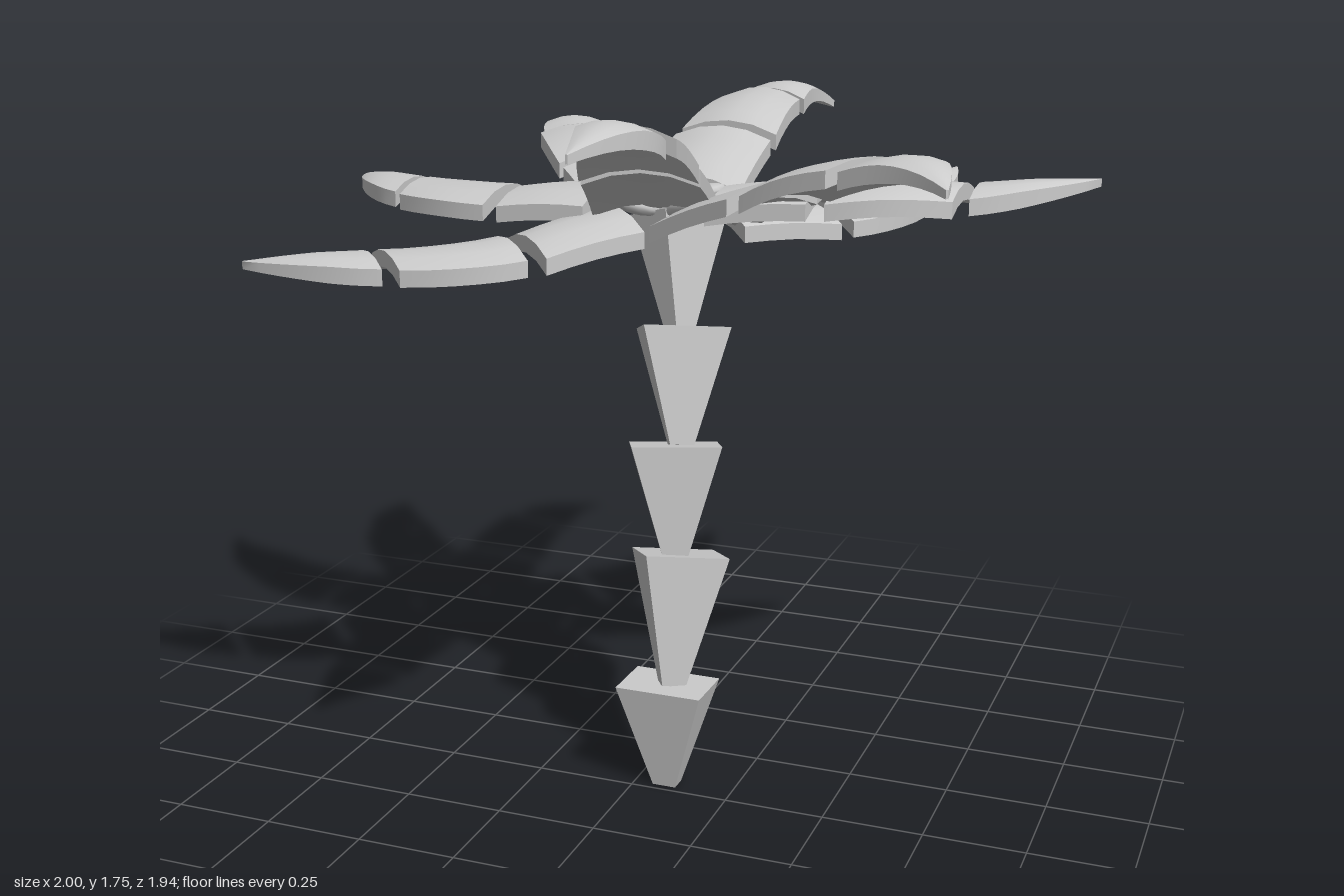
import * as THREE from 'three';
import { toCreasedNormals } from 'three/addons/utils/BufferGeometryUtils.js';

const material = new THREE.MeshStandardMaterial({ color: 0xcccccc });
const V = (x, y, z) => new THREE.Vector3(x, y, z);
const UP = V(0, 1, 0);
const RAD = Math.PI / 180;

function addMesh(parent, name, geometry) {
  const mesh = new THREE.Mesh(geometry, material);
  mesh.name = name;
  parent.add(mesh);
  return mesh;
}

// Trunk piece: a box narrowed at its foot, turned by yaw and aligned to its axis
function trunkSegment(foot, head, width, depth, yaw) {
  const axis = head.clone().sub(foot);
  const length = axis.length();
  const geo = new THREE.BoxGeometry(width, length, depth).translate(0, length / 2, 0);
  const pos = geo.attributes.position;
  for (let i = 0; i < pos.count; i++) {
    if (pos.getY(i) < length / 2) {
      pos.setX(i, Math.sign(pos.getX(i)) * 0.03);
      pos.setZ(i, Math.sign(pos.getZ(i)) * 0.022);
    }
  }
  geo.rotateY(yaw * RAD);
  geo.applyQuaternion(new THREE.Quaternion().setFromUnitVectors(UP, axis.normalize()));
  geo.translate(foot.x, foot.y, foot.z);
  geo.computeVertexNormals();
  return geo;
}

// Leaf slab lofted along a curve: arched over its length and cambered across
function leafSlab(start, control, end, angleA, angleB, halfWidth, arch, steps) {
  const curve = new THREE.QuadraticBezierCurve3(start, control, end);
  const across = 4, ring = 2 * (across + 1);
  const positions = [], index = [];
  for (let i = 0; i <= steps; i++) {
    const t = i / steps;
    const p = curve.getPoint(t);
    const a = THREE.MathUtils.lerp(angleA, angleB, t) * RAD;
    const hw = halfWidth(t);
    const thick = 0.018 + 0.022 * Math.min(1, hw / 0.08);
    for (let k = 0; k < ring; k++) {
      const top = k <= across;
      const s = (top ? k : ring - 1 - k) / across * 2 - 1;
      const y = p.y + arch * Math.sin(Math.PI * t) - 0.22 * hw * s * s + (top ? thick / 2 : -thick / 2);
      positions.push(p.x - Math.sin(a) * hw * s, y, p.z + Math.cos(a) * hw * s);
    }
  }
  for (let i = 0; i < steps; i++) {
    const a = i * ring, b = a + ring;
    for (let k = 0; k < ring; k++) {
      const n = (k + 1) % ring;
      index.push(a + k, a + n, b + k, a + n, b + n, b + k);
    }
  }
  const e = steps * ring;
  for (let k = 0; k < across; k++) {
    const tl = k, tr = k + 1, br = ring - 2 - k, bl = ring - 1 - k;
    index.push(tl, bl, br, tl, br, tr);
    index.push(e + tl, e + tr, e + br, e + tl, e + br, e + bl);
  }
  const geo = new THREE.BufferGeometry();
  geo.setAttribute('position', new THREE.Float32BufferAttribute(positions, 3));
  geo.setIndex(index);
  return toCreasedNormals(geo, 0.6);
}

// Frond: inner plate, middle plate and pointed tip, with small gaps between them
function createFrond({ name, angles: [a0, a1], root, joint, bend, tip }) {
  const frond = new THREE.Group();
  frond.name = name;
  const midStart = joint.clone().lerp(bend, 0.13);
  const tipStart = bend.clone().lerp(tip, 0.11);
  // Control point that carries on in the direction of the piece before
  const carryOn = (from, dir, to) =>
    from.clone().addScaledVector(dir.clone().normalize(), from.distanceTo(to) / 2);
  const innerDir = joint.clone().sub(root);
  const midDir = bend.clone().sub(midStart);
  const lerp = THREE.MathUtils.lerp;

  addMesh(frond, 'innerPlate', leafSlab(root, root.clone().lerp(joint, 0.5), joint,
    a0, a0, (t) => lerp(0.15, 0.135, t), 0.006, 4));
  addMesh(frond, 'middlePlate', leafSlab(midStart, carryOn(midStart, innerDir, bend), bend,
    a0, a1, (t) => lerp(0.135, 0.114, t), 0.006, 5));
  addMesh(frond, 'tip', leafSlab(tipStart, carryOn(tipStart, midDir, tip), tip,
    a1, a1, (t) => 0.1 * (1 - Math.pow(t, 1.4)) + 0.003, 0.006, 8));
  return frond;
}

export function createModel() {
  const model = new THREE.Group();
  model.name = 'palmTree';

  // Trunk
  const trunk = new THREE.Group();
  trunk.name = 'trunk';
  model.add(trunk);
  [
    [V(0.08, 0, 0.21), V(0.08, 0.27, 0.205), 0.22, 0.15, 0],
    [V(0.09, 0.265, 0.2), V(0.083, 0.587, 0.124), 0.21, 0.17, 33],
    [V(0.08, 0.585, 0.155), V(0.06, 0.86, 0.102), 0.22, 0.16, 24],
    [V(0.075, 0.86, 0.1), V(0.05, 1.135, 0.017), 0.215, 0.155, 28],
    [V(0.045, 1.13, 0.03), V(0.01, 1.4, -0.055), 0.2, 0.13, 62],
  ].forEach((args) => addMesh(trunk, 'trunkSegment', trunkSegment(...args)));

  // Crown of eight fronds; angles are the headings at the root and the tip
  [
    { name: 'leftFrond', angles: [0, 0], root: V(0.15, 1.47, 0),
      joint: V(0.39, 1.49, -0.005), bend: V(0.705, 1.49, -0.11), tip: V(0.995, 1.5, -0.31) },
    { name: 'rightFrond', angles: [180, 180], root: V(-0.155, 1.46, 0.01),
      joint: V(-0.39, 1.44, 0.012), bend: V(-0.71, 1.43, -0.07), tip: V(-1, 1.4, -0.29) },
    { name: 'backFrond', angles: [-84, -72], root: V(0, 1.47, -0.13),
      joint: V(0.01, 1.56, -0.38), bend: V(0.02, 1.625, -0.7), tip: V(0.135, 1.575, -0.97) },
    { name: 'frontFrond', angles: [76, 94], root: V(0.02, 1.48, 0.13),
      joint: V(0.075, 1.59, 0.365), bend: V(0.16, 1.7, 0.655), tip: V(0.16, 1.69, 0.965) },
    { name: 'backLeftFrond', angles: [-45, -45], root: V(0.1, 1.41, -0.09),
      joint: V(0.295, 1.39, -0.28), bend: V(0.445, 1.4, -0.57), tip: V(0.51, 1.415, -0.915) },
    { name: 'backRightFrond', angles: [-130, -109], root: V(-0.08, 1.43, -0.09),
      joint: V(-0.25, 1.49, -0.265), bend: V(-0.435, 1.53, -0.495), tip: V(-0.565, 1.495, -0.775) },
    { name: 'frontRightFrond', angles: [135, 135], root: V(-0.08, 1.42, 0.11),
      joint: V(-0.24, 1.375, 0.3), bend: V(-0.535, 1.345, 0.445), tip: V(-0.88, 1.32, 0.515) },
    { name: 'frontLeftFrond', angles: [32, 50], root: V(0.11, 1.43, 0.07),
      joint: V(0.335, 1.525, 0.205), bend: V(0.61, 1.615, 0.355), tip: V(0.82, 1.6, 0.575) },
  ].forEach((spec) => model.add(createFrond(spec)));

  // Small leaf buds at the heart of the crown
  for (let i = 0; i < 8; i++) {
    const main = i % 2 === 0;
    const bud = new THREE.SphereGeometry(1, 12, 8);
    bud.scale(0.07, 0.022, main ? 0.052 : 0.03);
    bud.rotateZ(0.3);
    bud.translate(0.085, main ? 1.465 : 1.44, 0);
    bud.rotateY(i * 45 * RAD);
    addMesh(model, 'bud', bud);
  }
  return model;
}
